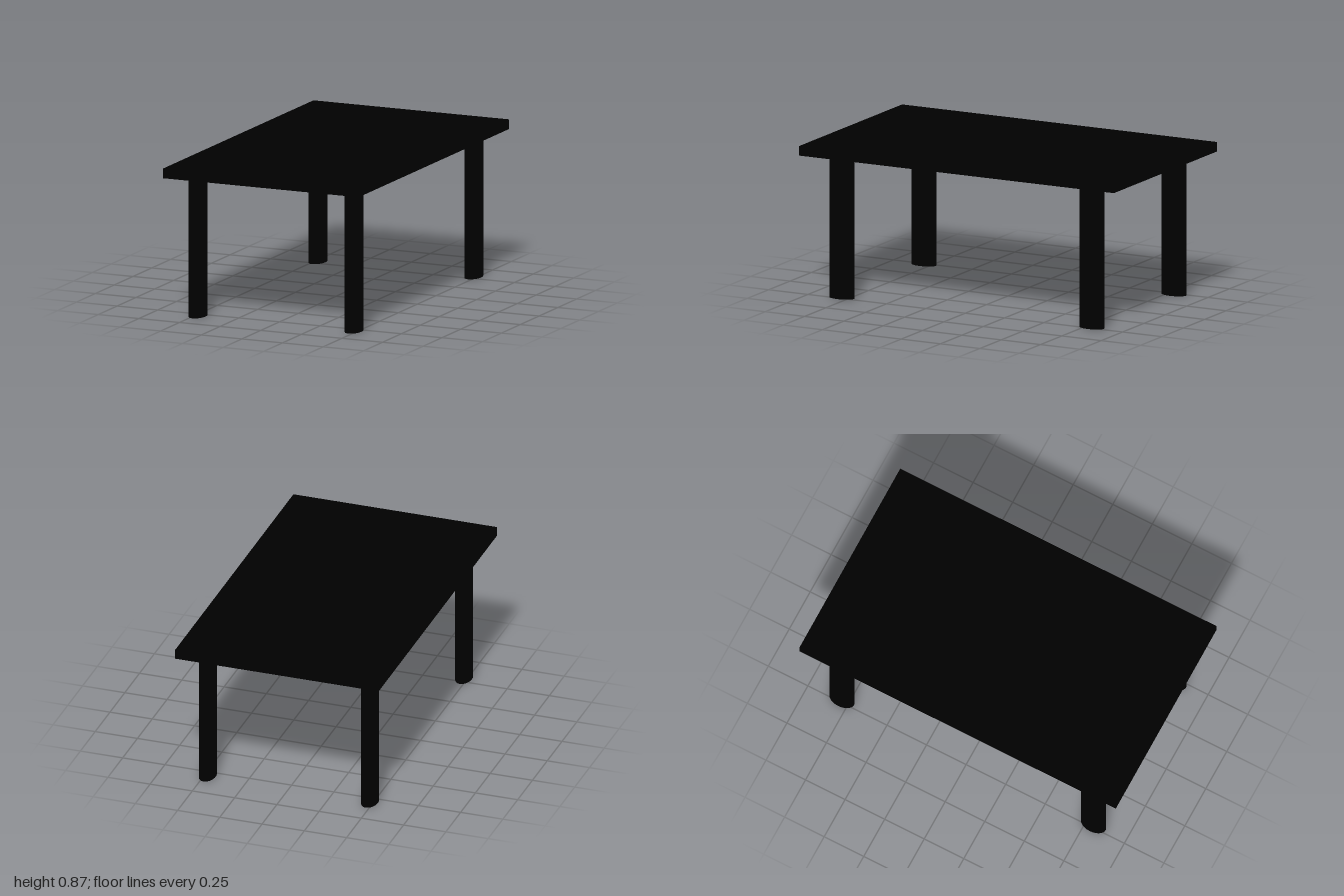
import * as THREE from 'three';

const TOP_Y = 0.87, TOP_THICK = 0.055;

export function createModel() {
  const model = new THREE.Group();
  model.name = 'table';
  const black = new THREE.MeshStandardMaterial({ color: 0x000000 });

  // Flat rectangular top
  const top = new THREE.Mesh(new THREE.BoxGeometry(1.204, TOP_THICK, 2), black);
  top.name = 'tableTop';
  top.position.y = TOP_Y - TOP_THICK / 2;
  model.add(top);

  // Four straight legs with an oval section, longer along z
  const legHeight = TOP_Y - TOP_THICK;
  const legGeometry = new THREE.CylinderGeometry(1, 1, legHeight, 48).scale(0.046, 1, 0.076);
  for (const [zName, z] of [['front', 1], ['back', -1]]) {
    for (const [xName, x] of [['Left', 1], ['Right', -1]]) {
      const leg = new THREE.Mesh(legGeometry, black);
      leg.name = `${zName}${xName}Leg`;
      leg.position.set(x * 0.48, legHeight / 2, z * 0.795);
      model.add(leg);
    }
  }
  return model;
}
